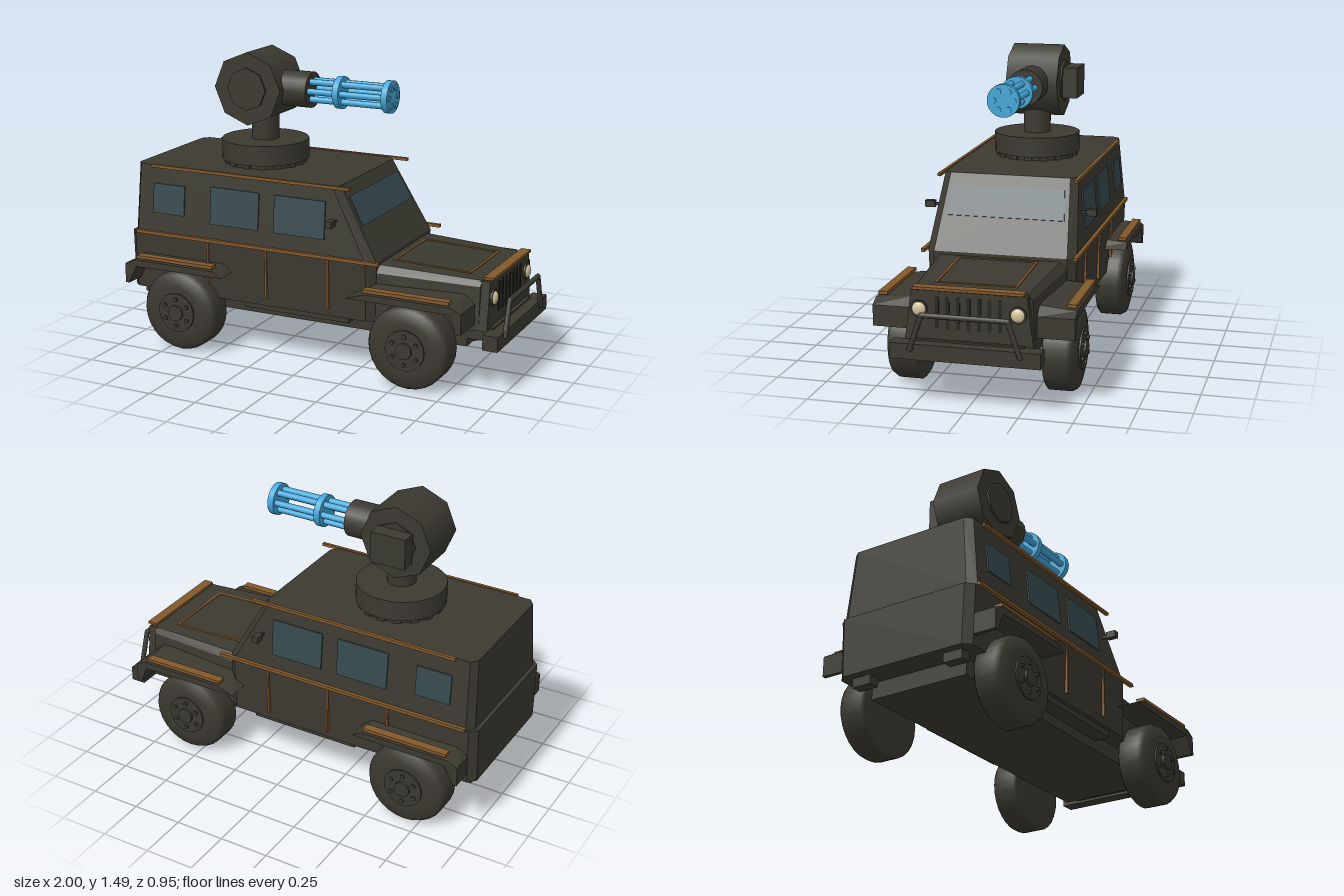
import * as THREE from 'three';
import { ConvexGeometry } from 'three/addons/geometries/ConvexGeometry.js';

const mat = (name, color) => Object.assign(new THREE.MeshStandardMaterial({ color }), { name });
const V = (x, y, z) => new THREE.Vector3(x, y, z);

export function createModel() {
  const root = new THREE.Group();
  root.name = 'armouredTruck';
  const body = mat('dark olive', 0x3b3930);
  const trim = mat('bronze trim', 0x83582a);
  const glass = mat('tinted glass', 0x36494e);
  const blue = mat('blue barrels', 0x43a8da);
  const lamp = mat('warm lamp', 0xd6c79c);
  const black = mat('shadow black', 0x26251f);

  const add = (name, geo, m, parent = root) => {
    const mesh = new THREE.Mesh(geo, m);
    mesh.name = name;
    parent.add(mesh);
    return mesh;
  };
  // box given by its low and high limits on each axis
  const box = (name, x0, x1, y0, y1, z0, z1, m = body, parent = root) => {
    const mesh = add(name, new THREE.BoxGeometry(x1 - x0, y1 - y0, z1 - z0), m, parent);
    mesh.position.set((x0 + x1) / 2, (y0 + y1) / 2, (z0 + z1) / 2);
    return mesh;
  };
  // convex panel from half outline points, mirrored in z
  const hull = (name, pts, m = body) =>
    add(name, new ConvexGeometry(pts.flatMap(([x, y, z]) => [V(x, y, z), V(x, y, -z)])), m);
  // thin plate on four coplanar corners, thickened along a normal
  const plate = (name, pts, n, t, m) => {
    const d = n.clone().normalize().multiplyScalar(t);
    return add(name, new ConvexGeometry(pts.flatMap(p => [p.clone().add(d), p.clone().addScaledVector(d, -0.3)])), m);
  };
  // cylinder along a chosen axis
  const cyl = (name, r, len, sides, axis, pos, m = body, parent = root) => {
    const g = new THREE.CylinderGeometry(r, r, len, sides);
    if (axis === 'x') g.rotateZ(-Math.PI / 2);
    if (axis === 'z') g.rotateX(Math.PI / 2);
    const mesh = add(name, g, m, parent);
    mesh.position.set(...pos);
    return mesh;
  };

  // Main shell
  hull('cabin', [
    [-0.98, 0.57, 0.33], [-0.95, 0.57, 0.37], [0.32, 0.57, 0.37], [0.36, 0.57, 0.33],
    [-0.968, 0.92, 0.3], [-0.94, 0.92, 0.335], [0.13, 0.92, 0.335], [0.16, 0.92, 0.3]]);
  hull('lowerBody', [
    [-1, 0.57, 0.335], [-0.965, 0.57, 0.37], [0.32, 0.57, 0.37], [0.36, 0.57, 0.33],
    [-1, 0.28, 0.325], [-0.965, 0.28, 0.36], [0.32, 0.28, 0.36], [0.36, 0.28, 0.33]]);
  hull('bonnet', [
    [0.33, 0.555, 0.3], [0.33, 0.52, 0.33], [0.33, 0.28, 0.335],
    [0.87, 0.537, 0.265], [0.87, 0.51, 0.285], [0.87, 0.3, 0.3]]);
  box('belly', -0.87, 0.8, 0.2, 0.3, -0.26, 0.26);
  box('sideStep', -0.35, 0.22, 0.25, 0.29, -0.34, 0.34);

  // Glass
  const windX = y => 0.16 + (0.92 - y) * 0.571;
  plate('windscreen', [[0.865, 0.28], [0.73, 0.295]].flatMap(([y, z]) =>
    [V(windX(y), y, z), V(windX(y), y, -z)]), V(0.35, 0.2, 0), 0.005, glass);
  const sideZ = y => 0.37 - 0.1 * (y - 0.57);
  for (const s of [1, -1]) {
    for (const [x0, x1, y0, y1] of [[-0.86, -0.68, 0.68, 0.83], [-0.53, -0.26, 0.66, 0.845], [-0.175, 0.1, 0.66, 0.845]])
      plate('sideWindow', [V(x0, y0, s * sideZ(y0)), V(x1, y0, s * sideZ(y0)),
        V(x1, y1, s * sideZ(y1)), V(x0, y1, s * sideZ(y1))], V(0, 0.1, s), 0.007, glass);
  }

  // Parts repeated on both sides
  for (const s of [1, -1]) {
    const sideBox = (name, x0, x1, y0, y1, z0, z1, m) =>
      box(name, x0, x1, y0, y1, Math.min(s * z0, s * z1), Math.max(s * z0, s * z1), m);

    // Bronze rails and door strips
    sideBox('roofRail', -0.87, 0.225, 0.91, 0.925, 0.334, 0.35, trim);
    sideBox('beltRail', -0.95, 0.395, 0.57, 0.586, 0.366, 0.386, trim);
    for (const x of [-0.543, -0.215, 0.122])
      sideBox('doorStrip', x - 0.005, x + 0.005, 0.32, 0.57, 0.35, 0.376, trim);

    // Mirror
    sideBox('mirror', 0.14, 0.172, 0.74, 0.773, 0.382, 0.432);
    sideBox('mirrorArm', 0.15, 0.162, 0.75, 0.762, 0.34, 0.385);

    // Fenders, angled at both ends with a flap at the outer end
    const fenders = [
      ['frontFender', [[0.27, 0.425], [0.36, 0.47], [0.8, 0.47], [0.85, 0.43], [0.85, 0.33], [0.83, 0.33], [0.79, 0.42]], 0.35, 0.785],
      ['rearFender', [[-0.41, 0.425], [-0.46, 0.47], [-0.91, 0.47], [-0.965, 0.43], [-0.965, 0.33], [-0.945, 0.33], [-0.9, 0.42]], -0.9, -0.465]];
    for (const [name, pts, t0, t1] of fenders) {
      const shape = new THREE.Shape(pts.map(p => new THREE.Vector2(...p)));
      const geo = new THREE.ExtrudeGeometry(shape, { depth: 0.175, bevelEnabled: false });
      // lower the outer edge a little
      const p = geo.attributes.position;
      for (let i = 0; i < p.count; i++) {
        const outer = s > 0 ? p.getZ(i) > 0.1 : p.getZ(i) < 0.1;
        if (outer && p.getY(i) > 0.46) p.setY(i, 0.455);
      }
      geo.computeVertexNormals();
      add(name, geo, body).position.z = s > 0 ? 0.3 : -0.475;
      sideBox(name + 'Trim', t0, t1, 0.462, 0.478, 0.425, 0.468, trim);
    }
    sideBox('rearMount', -0.96, -0.905, 0.235, 0.285, 0.2, 0.3);

    // Headlight with rim
    cyl('headlightRim', 0.04, 0.02, 20, 'x', [0.912, 0.45, s * 0.23]);
    const bulb = add('headlight', new THREE.SphereGeometry(0.033, 16, 10), lamp);
    bulb.scale.x = 0.5;
    bulb.position.set(0.92, 0.45, s * 0.23);
  }

  // Wheels
  const tyreProfile = [[0, 0], [0.19, 0], [0.205, 0.012], [0.205, 0.115], [0.19, 0.14], [0.13, 0.155], [0, 0.15]]
    .map(p => new THREE.Vector2(...p));
  for (const x of [-0.68, 0.565]) for (const s of [1, -1]) {
    const wheel = new THREE.Group();
    wheel.name = 'wheel';
    const tyre = new THREE.LatheGeometry(tyreProfile, 28);
    tyre.rotateX(Math.PI / 2);
    add('tyre', tyre, body, wheel);
    cyl('rim', 0.1, 0.02, 20, 'z', [0, 0, 0.152], body, wheel);
    cyl('hubCap', 0.04, 0.03, 14, 'z', [0, 0, 0.16], body, wheel);
    for (let i = 0; i < 6; i++) {
      const a = i * Math.PI / 3 + Math.PI / 6;
      cyl('wheelBolt', 0.011, 0.014, 8, 'z', [0.07 * Math.cos(a), 0.07 * Math.sin(a), 0.164], body, wheel);
    }
    wheel.position.set(x, 0.205, s * 0.3);
    if (s < 0) wheel.rotation.y = Math.PI;
    root.add(wheel);
  }

  // Bonnet outline
  const bonnetY = x => 0.555 - (x - 0.33) * 0.0333;
  const outline = new THREE.Group();
  outline.name = 'bonnetOutline';
  for (const s of [1, -1]) box('outlineSide', -0.2, 0.2, -0.003, 0.003, s * 0.19 - 0.006, s * 0.19 + 0.006, trim, outline);
  for (const x of [-0.194, 0.194]) box('outlineEnd', x - 0.006, x + 0.006, -0.003, 0.003, -0.19, 0.19, trim, outline);
  outline.position.set(0.588, bonnetY(0.588) + 0.001, 0);
  outline.rotation.z = -0.0333;
  root.add(outline);

  // Grille, bumper and guard
  hull('grille', [[0.86, 0.535, 0.27], [0.912, 0.535, 0.27], [0.86, 0.3, 0.3], [0.912, 0.3, 0.3]]);
  box('grilleTrim', 0.875, 0.925, 0.54, 0.553, -0.26, 0.26, trim);
  for (let i = -3; i <= 3; i++)
    box('grilleSlot', 0.908, 0.915, 0.36, 0.51, i * 0.049 - 0.009, i * 0.049 + 0.009, black);
  box('bumperMount', 0.8, 0.93, 0.24, 0.31, -0.26, 0.26);
  box('bumper', 0.91, 0.985, 0.228, 0.302, -0.35, 0.35);
  const guard = new THREE.CurvePath();
  const gp = [V(0.986, 0.27, 0.258), V(0.986, 0.44, 0.2), V(0.986, 0.44, -0.2), V(0.986, 0.27, -0.258)];
  for (let i = 0; i < 3; i++) guard.add(new THREE.LineCurve3(gp[i], gp[i + 1]));
  guard.curves.forEach(c => add('guardBar', new THREE.TubeGeometry(c, 1, 0.013, 8), body));
  for (const p of [gp[1], gp[2]])
    add('guardJoint', new THREE.SphereGeometry(0.0135, 8, 6), body).position.copy(p);

  // Turret base and head
  cyl('turretRing', 0.2, 0.03, 24, 'y', [-0.41, 0.93, 0]);
  for (let i = 0; i < 16; i++) {
    const a = i * Math.PI / 8;
    const tooth = add('ringTooth', new THREE.BoxGeometry(0.02, 0.02, 0.04), body);
    tooth.position.set(-0.41 + 0.2 * Math.cos(a), 0.93, 0.2 * Math.sin(a));
    tooth.rotation.y = -a;
  }
  cyl('turretBase', 0.22, 0.1, 28, 'y', [-0.41, 0.99, 0]);
  cyl('pedestal', 0.07, 0.16, 16, 'y', [-0.41, 1.1, 0]);
  cyl('turretHead', 0.184, 0.265, 8, 'z', [-0.44, 1.305, -0.002]);
  cyl('headCap', 0.107, 0.284, 8, 'z', [-0.44, 1.305, 0]);
  box('ammoBox', -0.535, -0.355, 1.225, 1.38, -0.22, -0.145);
  box('ammoBoxMount', -0.48, -0.41, 1.27, 1.34, -0.15, -0.12);

  // Rotary gun
  const gunY = 1.305;
  cyl('gunHousing', 0.09, 0.17, 20, 'x', [-0.225, gunY, 0]);
  for (const x of [0.017, 0.277]) cyl('barrelClamp', 0.08, 0.032, 24, 'x', [x, gunY, 0], blue);
  for (let i = 0; i < 6; i++) {
    const a = i * Math.PI / 3;
    cyl('barrel', 0.016, 0.45, 10, 'x', [0.073, gunY + 0.05 * Math.sin(a), 0.05 * Math.cos(a)], blue);
  }
  return root;
}
